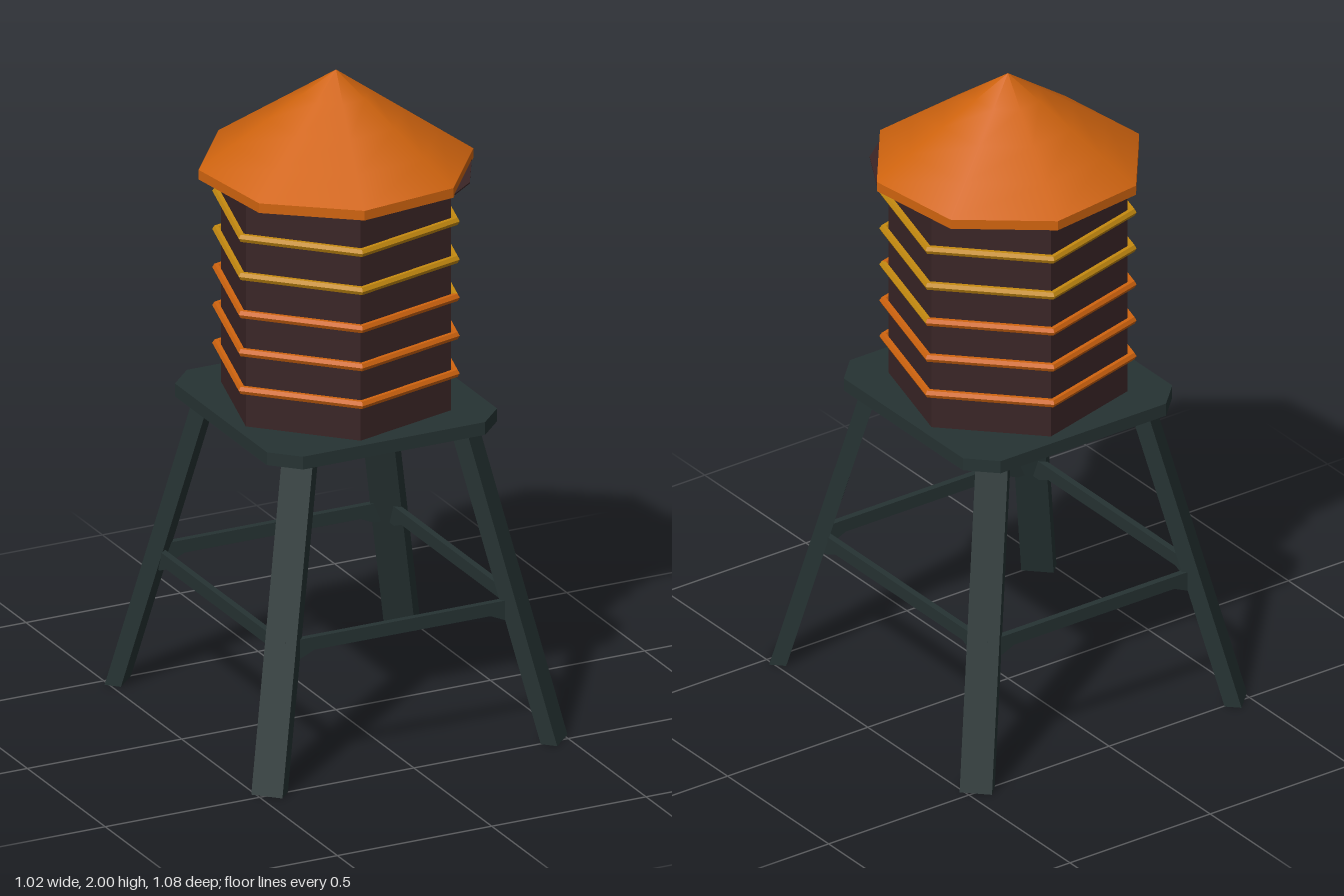
import * as THREE from 'three';

const material = (name, color) => {
  const m = new THREE.MeshStandardMaterial({ color });
  m.name = name;
  return m;
};

// Give a geometry one hard normal per face
function faceted(geometry) {
  const g = geometry.index ? geometry.toNonIndexed() : geometry;
  g.computeVertexNormals();
  return g;
}

export function createModel() {
  const root = new THREE.Group();
  root.name = 'waterTower';
  const steel = material('dark green steel', 0x263333);
  const wood = material('dark brown wood', 0x3a2526);
  const orange = material('rust orange', 0xd0640f);
  const yellow = material('ochre yellow', 0xc58a10);
  const rad = THREE.MathUtils.degToRad;

  const add = (name, geometry, mat, y = 0) => {
    const mesh = new THREE.Mesh(geometry, mat);
    mesh.name = name;
    mesh.position.y = y;
    root.add(mesh);
    return mesh;
  };
  const outline = (points) => new THREE.Shape(points.map(([x, y]) => new THREE.Vector2(x, y)));

  // Splayed legs: flat bars set diagonally, cut level at top and foot
  for (const sx of [-1, 1]) {
    for (const sz of [-1, 1]) {
      const g = new THREE.BoxGeometry(0.095, 0.94, 0.05);
      g.rotateY(Math.atan2(sx, sz));
      g.translate(0, 0.47, 0);
      const p = g.attributes.position;
      for (let i = 0; i < p.count; i++) {
        const t = p.getY(i) / 0.94;
        p.setX(i, p.getX(i) + sx * THREE.MathUtils.lerp(0.461, 0.267, t));
        p.setZ(i, p.getZ(i) + sz * THREE.MathUtils.lerp(0.487, 0.297, t));
      }
      add('leg', faceted(g), steel);
    }
  }

  // Cross rails with small gussets at their ends
  function rail(name, half, offset, turn) {
    const g = new THREE.ExtrudeGeometry(outline([
      [-half, 0.435], [-half, 0.375], [0.05 - half, 0.375], [0.095 - half, 0.395],
      [half - 0.095, 0.395], [half - 0.05, 0.375], [half, 0.375], [half, 0.435],
    ]), { depth: 0.02, bevelEnabled: false });
    g.translate(0, 0, offset - 0.01);
    g.rotateY(turn);
    add(name, g, steel);
  }
  for (const turn of [0, Math.PI]) {
    rail('crossRail', 0.38, 0.417, turn);
    rail('sideRail', 0.41, 0.38, turn + Math.PI / 2);
  }

  // Platform: square with cut corners
  const a = 0.373, b = 0.295;
  const platform = new THREE.ExtrudeGeometry(outline([
    [a, -b], [a, b], [b, a], [-b, a], [-a, b], [-a, -b], [-b, -a], [b, -a],
  ]), { depth: 0.04, bevelEnabled: false });
  platform.rotateX(Math.PI / 2);
  add('platform', platform, steel, 0.98);

  // Six-sided tank
  add('tank', faceted(new THREE.CylinderGeometry(0.35, 0.35, 0.73, 6, 1, false, Math.PI / 4)), wood, 1.345);

  // Hoops; the middle one has one yellow side
  function hoop(y, mat, startDeg, sides) {
    const g = new THREE.TorusGeometry(0.364, 0.013, 6, sides, rad(60 * sides));
    g.rotateZ(rad(startDeg));
    g.rotateX(Math.PI / 2);
    add('hoop', faceted(g), mat, y);
  }
  hoop(1.098, orange, 45, 6);
  hoop(1.216, orange, 45, 6);
  hoop(1.335, orange, 45, 5);
  hoop(1.335, yellow, -15, 1);
  hoop(1.454, yellow, 45, 6);
  hoop(1.573, yellow, 45, 6);

  // Eight-sided roof: smooth cone over a thin eave
  const start = rad(75), R = 0.406;
  add('roof', new THREE.ConeGeometry(R, 0.28, 8, 4, true, start), orange, 1.86);
  add('eave', faceted(new THREE.CylinderGeometry(R, R, 0.03, 8, 1, false, start)), orange, 1.705);

  // Thin dark lip showing past the eave on one side
  const lip = new THREE.ExtrudeGeometry(outline(
    [[15, 0.402], [43.5, 0.404], [60, 0.402]].map(([d, r]) => [r * Math.cos(rad(d)), r * Math.sin(rad(d))])
  ), { depth: 0.004, bevelEnabled: false });
  lip.rotateX(Math.PI / 2);
  add('eaveLip', lip, wood, 1.695);

  return root;
}
